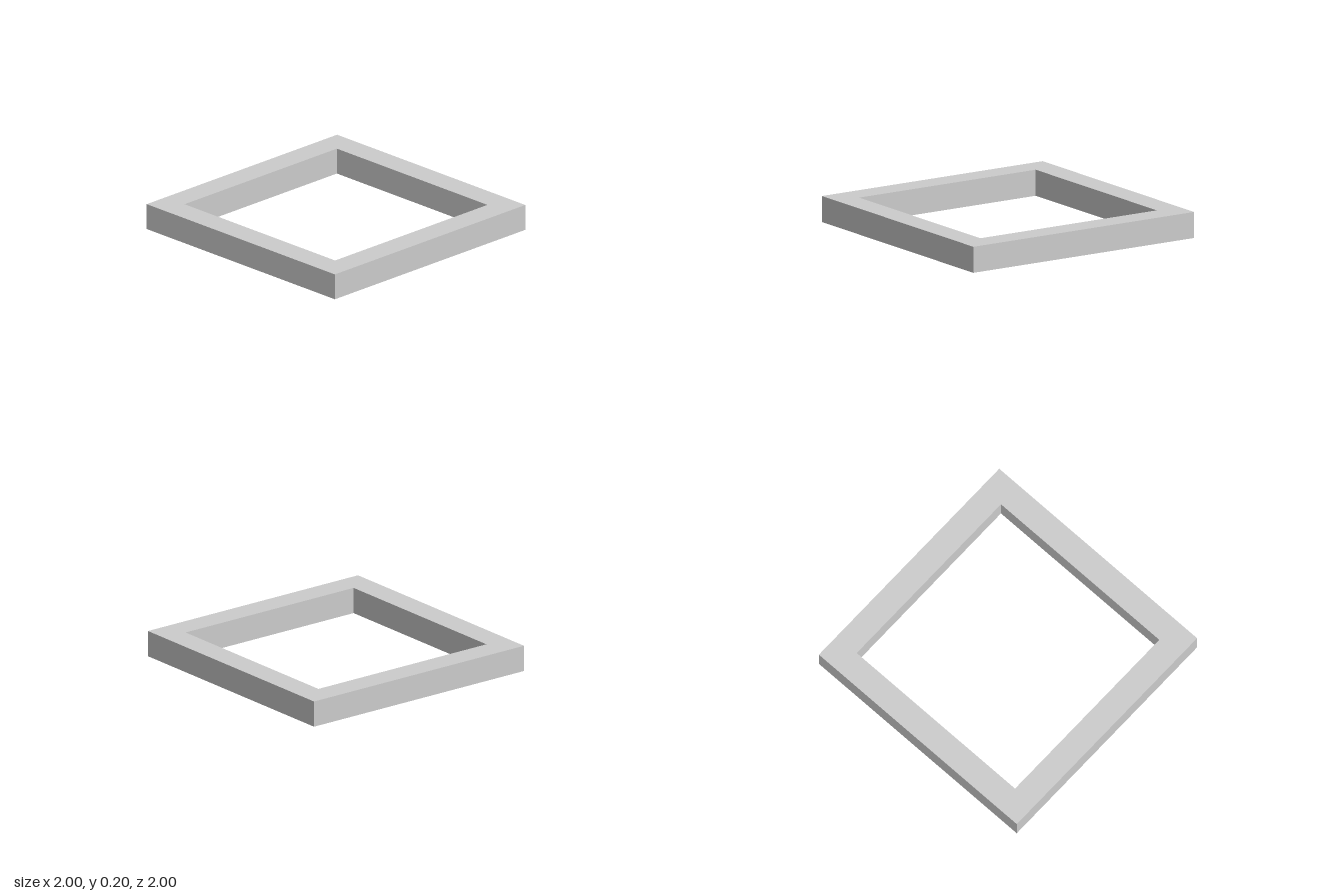
import * as THREE from 'three';

// Corners of a centred square with the given half width
const square = (h) => [[-h, -h], [h, -h], [h, h], [-h, h]].map(([x, y]) => new THREE.Vector2(x, y));

export function createModel() {
  const group = new THREE.Group();
  group.name = 'squareFrame';

  // Square outline with a square opening, extruded upwards
  const outline = new THREE.Shape(square(1));
  outline.holes.push(new THREE.Path(square(0.8).reverse()));
  const geometry = new THREE.ExtrudeGeometry(outline, { depth: 0.2, bevelEnabled: false });
  geometry.rotateX(-Math.PI / 2);

  const frame = new THREE.Mesh(geometry, new THREE.MeshStandardMaterial({ color: 0xcccccc }));
  frame.name = 'frame';
  group.add(frame);
  return group;
}
